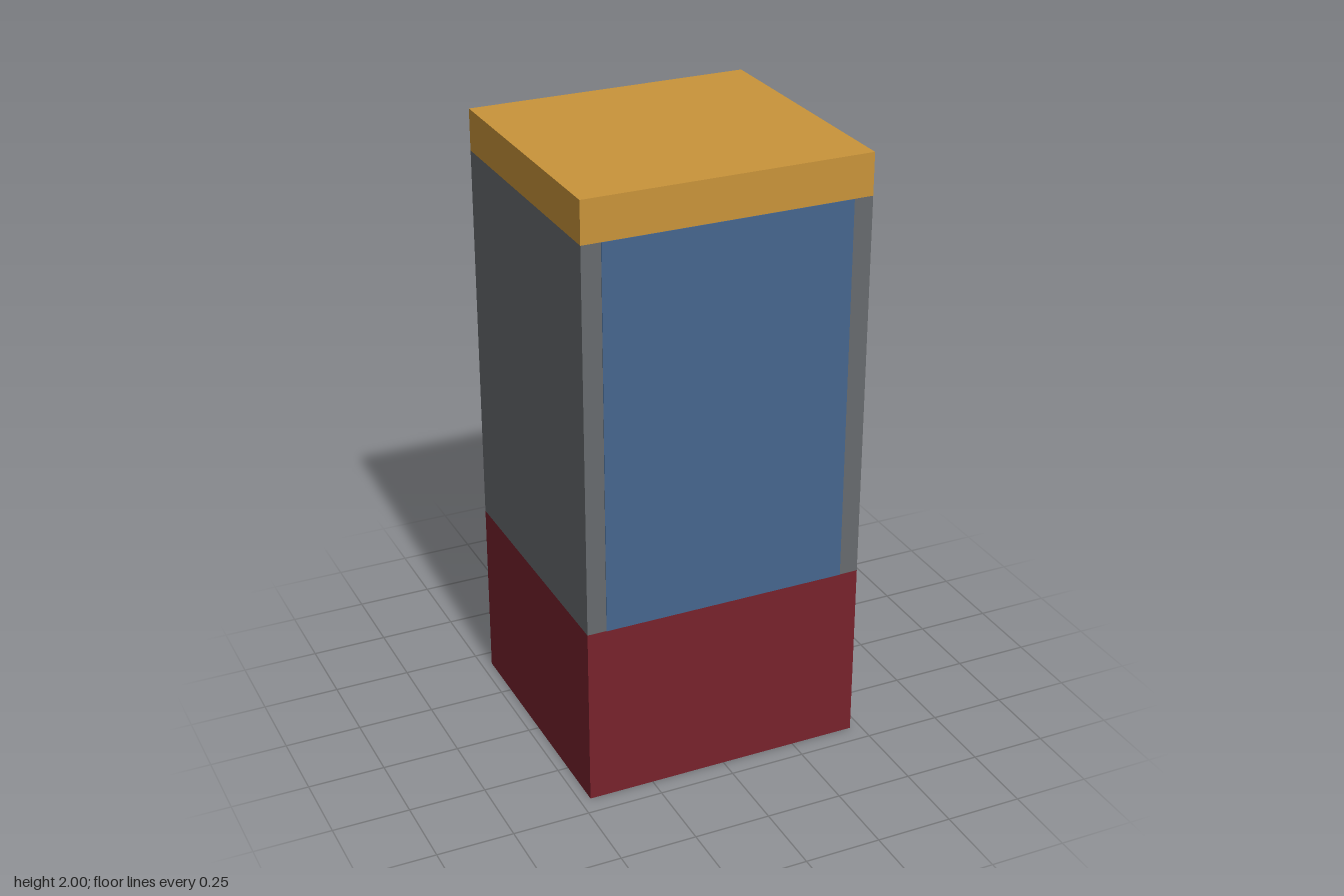
import * as THREE from 'three';

const W = 0.93, D = 0.866;
const BASE_TOP = 0.6, BODY_TOP = 1.865, TOP = 2;

function material(name, color, side = THREE.FrontSide) {
  const m = new THREE.MeshStandardMaterial({ color, side });
  m.name = name;
  return m;
}

export function createModel() {
  const group = new THREE.Group();
  const red = material('dark red', 0x77222c, THREE.DoubleSide);
  const grey = material('slate grey', 0x676b6e);
  const blue = material('steel blue', 0x46668e);
  const gold = material('ochre', 0xc9943a);

  function add(name, geometry, mat, x, y, z) {
    const mesh = new THREE.Mesh(geometry, mat);
    mesh.name = name;
    mesh.position.set(x, y, z);
    group.add(mesh);
    return mesh;
  }

  // Hollow base: four thin walls, open underneath
  for (const s of [1, -1]) {
    add(s > 0 ? 'baseFront' : 'baseBack', new THREE.PlaneGeometry(W, BASE_TOP), red,
      0, BASE_TOP / 2, s * D / 2).rotation.y = s > 0 ? 0 : Math.PI;
    add(s > 0 ? 'baseLeft' : 'baseRight', new THREE.PlaneGeometry(D, BASE_TOP), red,
      s * W / 2, BASE_TOP / 2, 0).rotation.y = s * Math.PI / 2;
  }

  // Closed body above the base
  add('body', new THREE.BoxGeometry(W, BODY_TOP - BASE_TOP, D), grey,
    0, (BASE_TOP + BODY_TOP) / 2, 0);

  // Flush front panel
  add('frontPanel', new THREE.BoxGeometry(0.805, BODY_TOP - BASE_TOP, 0.004), blue,
    0, (BASE_TOP + BODY_TOP) / 2, D / 2);

  // Flat cap
  add('cap', new THREE.BoxGeometry(W, TOP - BODY_TOP, D), gold,
    0, (BODY_TOP + TOP) / 2, 0);

  return group;
}
